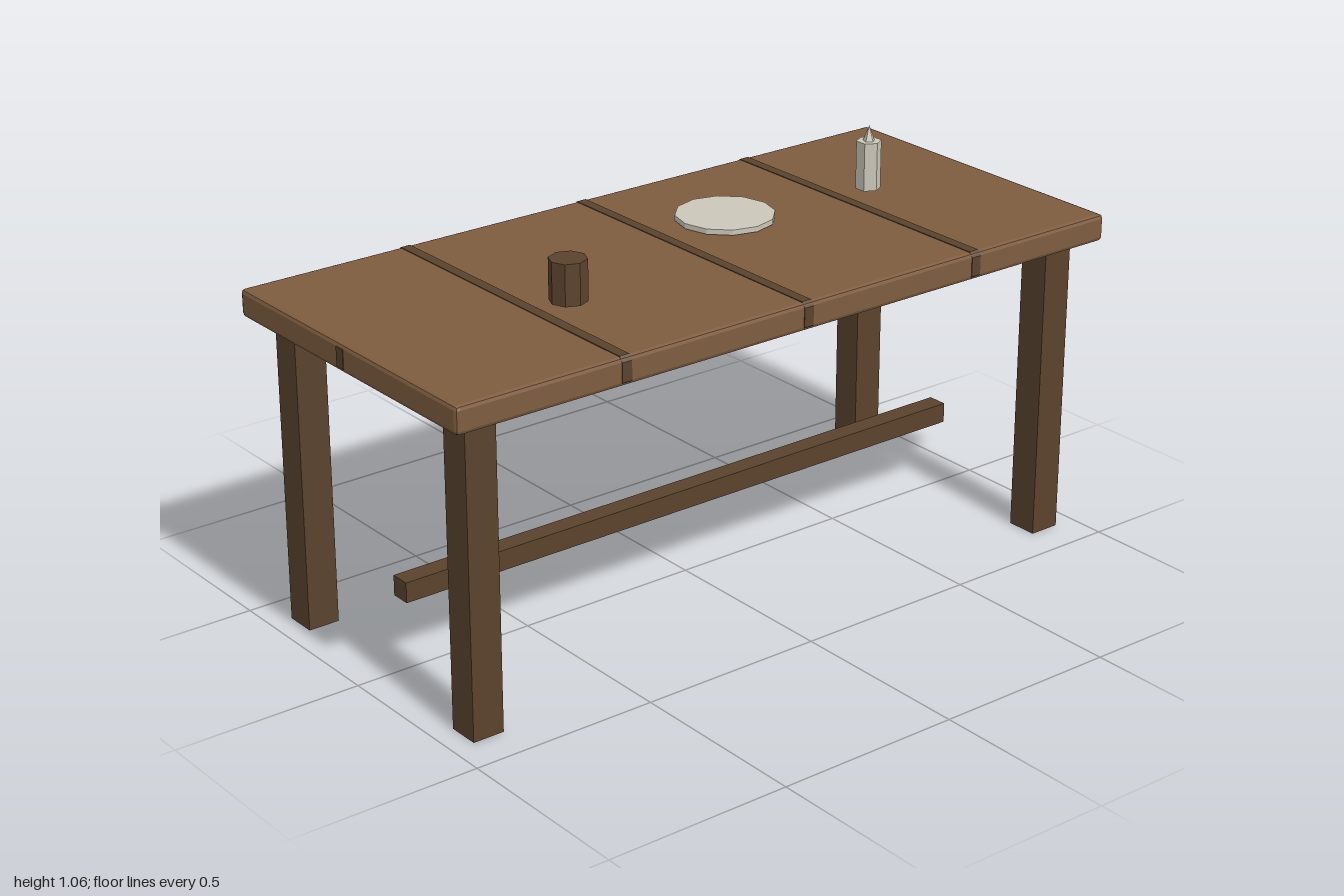
import * as THREE from 'three';
import { RoundedBoxGeometry } from 'three/addons/geometries/RoundedBoxGeometry.js';

const flatMaterial = (name, color) => {
  const m = new THREE.MeshStandardMaterial({ color });
  m.name = name;
  return m;
};

// Faceted normals for low-poly parts
function faceted(geometry) {
  const g = geometry.index ? geometry.toNonIndexed() : geometry;
  g.computeVertexNormals();
  return g;
}

export function createModel() {
  const wood = flatMaterial('wood', 0x7f5d40);
  const darkWood = flatMaterial('darkWood', 0x5a432d);
  const cream = flatMaterial('cream', 0xccc7ba);

  const table = new THREE.Group();
  table.name = 'table';

  function add(name, geometry, material, x, y, z, parent = table) {
    const mesh = new THREE.Mesh(geometry, material);
    mesh.name = name;
    mesh.position.set(x, y, z);
    parent.add(mesh);
    return mesh;
  }

  // Chamfered top
  const topY = 0.882, bottomY = 0.81, halfDepth = 0.457, chamfer = 0.011;
  add('tabletop', faceted(new RoundedBoxGeometry(1.996, topY - bottomY, halfDepth * 2, 1, chamfer)),
    wood, 0, (topY + bottomY) / 2, 0);

  // Plank seams wrap over the top and down both long edges
  const e = 0.002, w = halfDepth + e, seamWidth = 0.028;
  const profile = new THREE.Shape([
    [-w, bottomY + chamfer], [-w + chamfer, bottomY + 0.001],
    [w - chamfer, bottomY + 0.001], [w, bottomY + chamfer],
    [w, topY - chamfer], [w - chamfer, topY + e],
    [-w + chamfer, topY + e], [-w, topY - chamfer],
  ].map(([z, y]) => new THREE.Vector2(z, y)));
  const seam = new THREE.ExtrudeGeometry(profile, { depth: seamWidth, bevelEnabled: false });
  seam.translate(0, 0, -seamWidth / 2).rotateY(Math.PI / 2);
  for (const x of [-0.53, 0.012, 0.553]) add('plankSeam', seam, darkWood, x, 0, 0);

  // Short seam marks on the two ends
  for (const s of [-1, 1]) {
    add('endSeam', new THREE.BoxGeometry(0.004, 0.05, 0.028), darkWood, s * 0.998, 0.846, -0.015);
  }

  // Square legs and the central stretcher
  const leg = new THREE.BoxGeometry(0.085, bottomY + 0.005, 0.085);
  for (const sx of [-1, 1]) for (const sz of [-1, 1]) {
    add('leg', leg, darkWood, sx * 0.897, (bottomY + 0.005) / 2, sz * 0.357);
  }
  add('stretcher', new THREE.BoxGeometry(1.74, 0.054, 0.054), darkWood, 0, 0.218, 0);

  // Tableware
  add('cup', faceted(new THREE.CylinderGeometry(0.048, 0.048, 0.107, 8)), darkWood, -0.437, 0.943, 0.108);
  add('plate', faceted(new THREE.CylinderGeometry(0.129, 0.129, 0.014, 12)), cream, 0.214, 0.894, -0.109);

  const candle = new THREE.Group();
  candle.name = 'candle';
  candle.position.set(0.646, 0, -0.053);
  table.add(candle);
  add('candleStick', faceted(new THREE.CylinderGeometry(0.033, 0.033, 0.129, 6)), cream, 0, 0.954, 0, candle);
  add('candleFlame', faceted(new THREE.ConeGeometry(0.016, 0.042, 5)), cream, 0, 1.039, 0, candle);

  return table;
}
